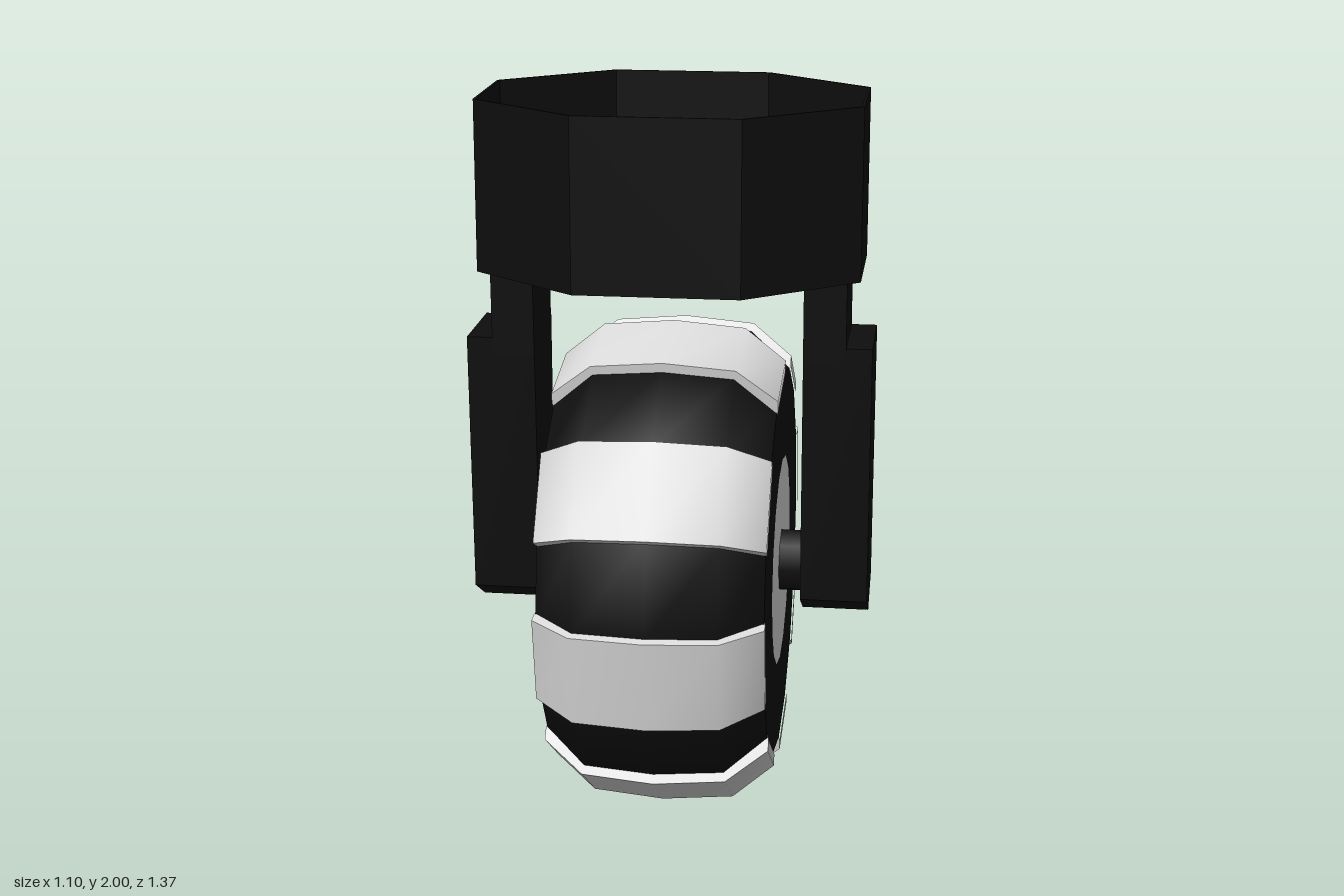
import * as THREE from 'three';

const SIDES = 16;
const AXLE_Y = 0.69;

export function createModel() {
  const dark = new THREE.MeshStandardMaterial({ color: 0x0e0e0e });
  dark.name = 'black';
  const light = new THREE.MeshStandardMaterial({ color: 0xdddddd });
  light.name = 'light grey';

  const model = new THREE.Group();
  model.name = 'casterWheel';
  const add = (parent, name, geometry, material) => {
    const mesh = new THREE.Mesh(geometry, material);
    mesh.name = name;
    parent.add(mesh);
    return mesh;
  };
  const v2 = (pts) => pts.map(([x, y]) => new THREE.Vector2(x, y));

  // Socket: open-topped eight-sided cup
  const octagon = (s) => v2([
    [0.515, -0.165], [0.515, 0.165], [0.22, 0.4], [-0.22, 0.4],
    [-0.515, 0.165], [-0.515, -0.165], [-0.22, -0.4], [0.22, -0.4],
  ].map(([x, z]) => [x * s, z * s]));
  const upright = (shape, depth, y) =>
    new THREE.ExtrudeGeometry(shape, { depth, bevelEnabled: false }).rotateX(-Math.PI / 2).translate(0, y, 0);
  const wall = new THREE.Shape(octagon(1));
  wall.holes.push(new THREE.Path(octagon(0.985)));
  add(model, 'socketWall', upright(wall, 0.465, 1.535), dark);
  add(model, 'socketFloor', upright(new THREE.Shape(octagon(0.985)), 0.01, 1.535), dark);

  // Fork arms: outlines in (z, y), extruded across x
  const plate = (pts, x0, x1) =>
    new THREE.ExtrudeGeometry(new THREE.Shape(v2(pts)), { depth: x1 - x0, bevelEnabled: false })
      .rotateY(-Math.PI / 2).translate(x1, 0, 0);
  const upper = [[-0.11, 1.3], [0.155, 1.3], [0.165, 1.545], [-0.105, 1.545]];
  const lower = [[0, 0.55], [0.125, 0.62], [0.155, 1.35], [-0.115, 1.35], [-0.125, 0.62]];
  for (const [side, s] of [['left', 1], ['right', -1]]) {
    const span = (a, b) => (s > 0 ? [a, b] : [-b, -a]);
    add(model, side + 'UpperArm', plate(upper, ...span(0.365, 0.48)), dark);
    add(model, side + 'LowerArm', plate(lower, ...span(0.365, 0.55)), dark);
  }

  // Wheel, centred on its axle
  const wheel = new THREE.Group();
  wheel.name = 'wheel';
  wheel.position.y = AXLE_Y;
  model.add(wheel);

  const tyre = v2([[0.545, -0.302], [0.645, -0.19], [0.66, 0], [0.645, 0.19], [0.545, 0.302]]);
  add(wheel, 'tyre', new THREE.LatheGeometry(tyre, SIDES).rotateZ(-Math.PI / 2), dark);
  add(wheel, 'axle', new THREE.CylinderGeometry(0.09, 0.09, 0.76, 8).rotateZ(Math.PI / 2), dark);
  for (const [side, s] of [['left', 1], ['right', -1]]) {
    const face = (g) => g.rotateY(s * Math.PI / 2).translate(s * 0.302, 0, 0);
    add(wheel, side + 'Sidewall', face(new THREE.RingGeometry(0.295, 0.545, SIDES)), dark);
    add(wheel, side + 'Hub', face(new THREE.CircleGeometry(0.295, SIDES)), light);
  }

  // Tread blocks on every second facet of the tyre
  const tread = treadBlock();
  for (let i = 0; i < 8; i++) {
    const block = add(wheel, 'treadBlock', tread, light);
    block.rotation.x = Math.PI / 2 - (1.5 * Math.PI * 2) / SIDES - (i * Math.PI) / 4;
  }
  return model;
}

// One block: a curved outer face with a skirt along both long edges
function treadBlock() {
  const profile = [
    [-0.306, 0.533], [-0.306, 0.564], [-0.195, 0.655], [0, 0.672],
    [0.195, 0.655], [0.306, 0.564], [0.306, 0.533],
  ];
  const n = profile.length;
  const rows = [[1, 0], [1, 1], [1, 1], [-1, 1], [-1, 1], [-1, 0]];
  const pos = [];
  const index = [];
  for (const [dir, outer] of rows) {
    for (const [x, r] of profile) {
      const half = 0.12 + (r - 0.533) * 0.1;
      pos.push(outer ? x : x * 0.97, outer ? r : r * 0.93, dir * half);
    }
  }
  for (const j of [0, 2, 4]) {
    for (let i = 0; i < n - 1; i++) {
      const a = j * n + i;
      index.push(a, a + 1, a + n + 1, a, a + n + 1, a + n);
    }
  }
  const g = new THREE.BufferGeometry();
  g.setAttribute('position', new THREE.Float32BufferAttribute(pos, 3));
  g.setIndex(index);
  g.computeVertexNormals();
  return g;
}
